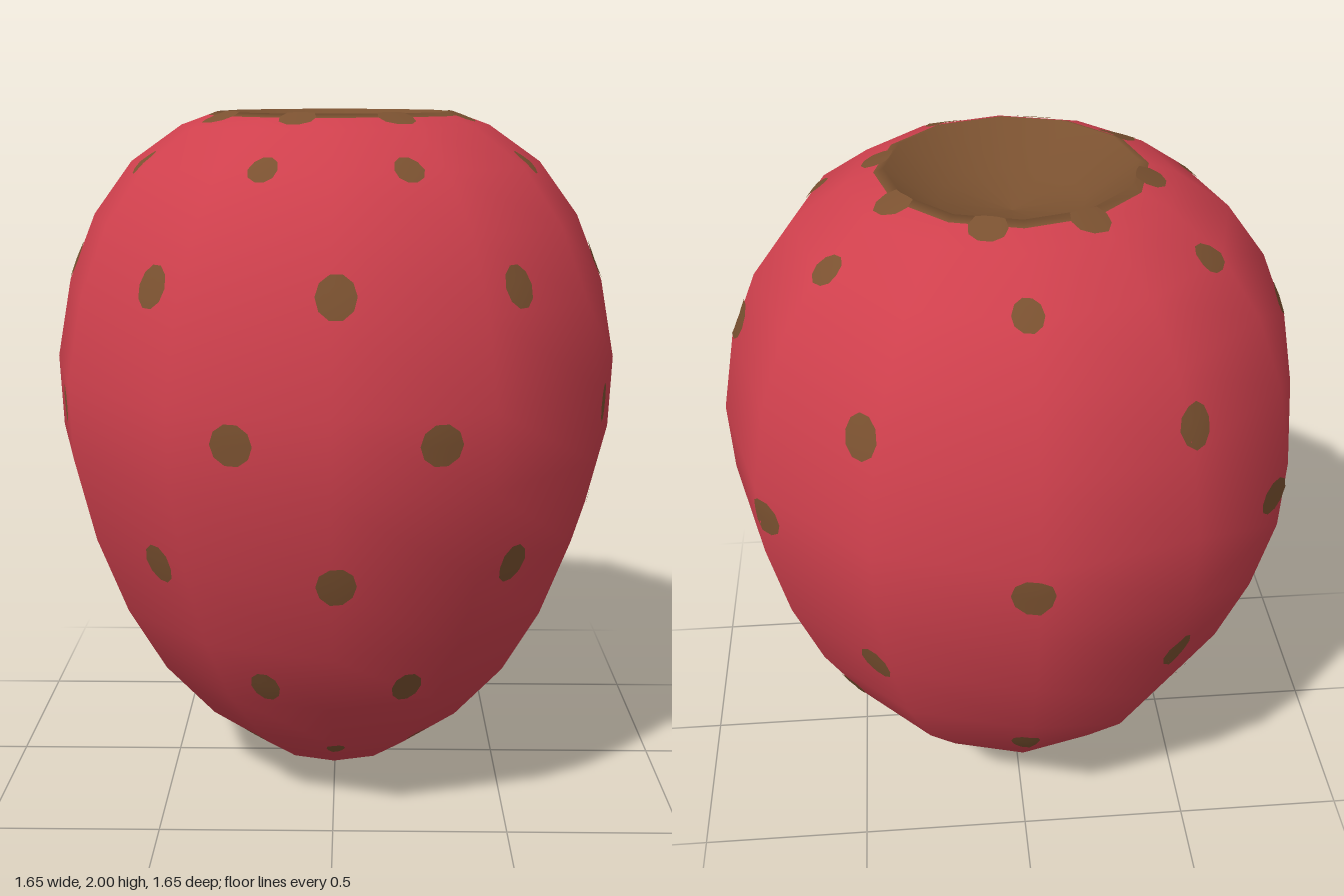
import * as THREE from 'three';
import { mergeGeometries } from 'three/addons/utils/BufferGeometryUtils.js';

const SIDES = 12;
const DEG = Math.PI / 180;

// Profile [radius, height] from the bottom tip, over the rim, into the hollow.
const PROFILE = [
  [0, 0], [0.125, 0.045], [0.24, 0.085], [0.42, 0.23], [0.57, 0.41], [0.68, 0.61],
  [0.765, 0.84], [0.82, 1.08], [0.826, 1.29], [0.78, 1.52], [0.7, 1.71], [0.587, 1.86],
  [0.44, 1.962], [0.362, 1.99], [0.335, 2], [0.2, 1.9], [0, 1.87],
];
const TIP = 1, CROWN = 13, RIM = 14;

// Radius of the outer skin at a height.
function radiusAt(y) {
  for (let i = 0; i < RIM; i++) {
    const [r0, y0] = PROFILE[i], [r1, y1] = PROFILE[i + 1];
    if (y <= y1) return r0 + (r1 - r0) * (y - y0) / (y1 - y0);
  }
  return PROFILE[RIM][0];
}

// Point and normal on the twelve-sided skin, at an angle in degrees from the front.
function skin(angle, height) {
  const y = THREE.MathUtils.clamp(height, 0.02, 2);
  const half = 180 / SIDES;
  const off = THREE.MathUtils.euclideanModulo(angle, 2 * half) - half;
  const r = radiusAt(y) * Math.cos(half * DEG) / Math.cos(off * DEG);
  const lo = Math.max(0, y - 0.08), hi = Math.min(2, y + 0.08);
  const slope = (radiusAt(hi) - radiusAt(lo)) / (hi - lo);
  const s = Math.sin(angle * DEG), c = Math.cos(angle * DEG);
  const normal = new THREE.Vector3(s, -slope, c).normalize();
  const point = new THREE.Vector3(r * s, y, r * c).addScaledVector(normal, 0.004);
  return { point, normal };
}

// Thin round patch wrapped onto the skin.
function patch(angle, y, halfAngle, halfHeight) {
  const geo = new THREE.RingGeometry(0, 1, 10, 2);
  const pos = geo.attributes.position, nor = geo.attributes.normal;
  for (let i = 0; i < pos.count; i++) {
    const { point, normal } = skin(angle + pos.getX(i) * halfAngle, y + pos.getY(i) * halfHeight);
    pos.setXYZ(i, point.x, point.y, point.z);
    nor.setXYZ(i, normal.x, normal.y, normal.z);
  }
  return geo;
}

export function createModel() {
  const group = new THREE.Group();
  const red = new THREE.MeshStandardMaterial({ name: 'berry red', color: 0xcf404d });
  const brown = new THREE.MeshStandardMaterial({ name: 'seed brown', color: 0x7a5130 });

  const add = (name, geo, material) => {
    const mesh = new THREE.Mesh(geo, material);
    mesh.name = name;
    group.add(mesh);
  };

  // One turned surface, divided into bands that share smooth normals.
  const lathe = new THREE.LatheGeometry(PROFILE.map(([r, y]) => new THREE.Vector2(r, y)), SIDES);
  const rows = PROFILE.length - 1;
  const band = (from, to) => {
    const geo = lathe.clone();
    geo.setIndex(Array.from(lathe.index.array).filter((_, k) => {
      const row = Math.floor(k / 6) % rows;
      return row >= from && row < to;
    }));
    return geo;
  };
  add('bottomTip', band(0, TIP), brown);
  add('berryBody', band(TIP, CROWN), red);
  add('stemHollow', band(CROWN, rows), brown);

  // Staggered rows of seeds: [height, half height, angles].
  const even = [1, 40, 91, 146, 212, 270, 322];
  const odd = [20, 70, 122, 179, 236, 292, 342];
  const seedRows = [
    [0.205, 0.027, even], [0.48, 0.05, odd], [0.845, 0.056, even],
    [1.215, 0.056, odd], [1.58, 0.055, even], [1.865, 0.03, odd],
  ];
  const seeds = seedRows.flatMap(([y, h, angles]) => angles.map((a) => patch(a, y, 4, h)));
  add('seeds', mergeGeometries(seeds), brown);

  // Scalloped lobes around the rim of the hollow.
  const lobes = [27, 76, 121, 166, 207, 256, 303, 345].map((a) => patch(a, 1.988, 8, 0.018));
  add('rimLobes', mergeGeometries(lobes), brown);

  return group;
}
